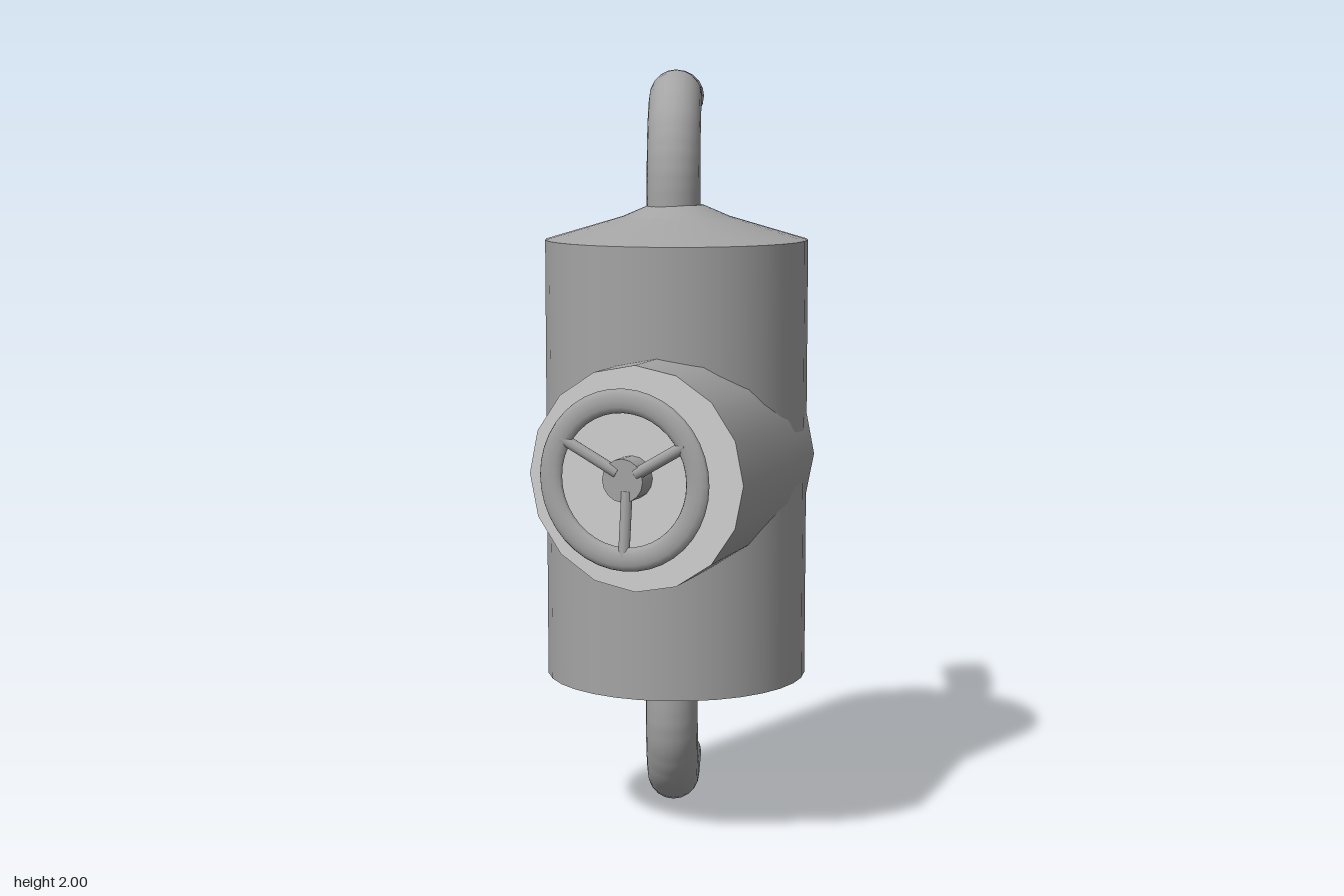
import * as THREE from 'three';

export function createModel() {
  const model = new THREE.Group();
  const makeMaterial = (name, color) => {
    const material = new THREE.MeshStandardMaterial({ color });
    material.name = name;
    return material;
  };
  const metal = makeMaterial('grey metal', 0xa4a4a4);
  const pale = makeMaterial('pale metal', 0xd0d0d0);

  const add = (parent, name, geometry, x = 0, y = 0, z = 0, material = metal) => {
    const mesh = new THREE.Mesh(geometry, material);
    mesh.name = name;
    mesh.position.set(x, y, z);
    parent.add(mesh);
    return mesh;
  };

  // Upright tank with a shallow two-step conical lid
  const tank = new THREE.Group();
  tank.name = 'tank';
  tank.position.set(-0.072, 0, -0.11);
  model.add(tank);
  add(tank, 'tankBody', new THREE.CylinderGeometry(0.344, 0.344, 1.154, 32), 0, 0.983, 0);
  add(tank, 'lidSlope', new THREE.CylinderGeometry(0.14, 0.344, 0.06, 32, 1, true), 0, 1.59, 0);
  add(tank, 'lidCollar', new THREE.CylinderGeometry(0.07, 0.14, 0.03, 32), 0, 1.635, 0);

  // Bent pipes leaving the top and the bottom, both pointing back
  const bendOut = 0.19, bendUp = 0.24, reach = 0.392, radius = 0.07;
  const dir = new THREE.Vector3(-0.592, 0, -0.806);
  const addPipe = (name, yStart, yEnd, shift) => {
    const s = Math.sign(yEnd - yStart);
    const at = (d, y) => dir.clone().multiplyScalar(d).add(new THREE.Vector3(-0.004, y, shift));
    const points = [at(0, yStart)];
    for (let i = 0; i <= 10; i++) {
      const a = (i / 10) * Math.PI / 2;
      points.push(at(bendOut * (1 - Math.cos(a)), yEnd - s * bendUp * (1 - Math.sin(a))));
    }
    points.push(at(reach, yEnd));
    const path = new THREE.CurvePath();
    for (let i = 1; i < points.length; i++) path.add(new THREE.LineCurve3(points[i - 1], points[i]));
    add(tank, name, new THREE.TubeGeometry(path, 32, radius, 20, false));
    const cap = add(tank, name + 'End', new THREE.CircleGeometry(radius, 20), ...points.at(-1).toArray());
    cap.rotation.y = Math.atan2(dir.x, dir.z);
  };
  addPipe('topPipe', 1.6, 1.93, 0.008);
  addPipe('bottomPipe', 0.45, 0.07, 0.015);

  // Side drum running into the tank, with a pale front face
  const drum = new THREE.Group();
  drum.name = 'sideDrum';
  drum.position.set(0.144, 1, 0.328);
  drum.rotation.y = 0.306;
  model.add(drum);
  const drumGeometry = new THREE.CylinderGeometry(0.282, 0.282, 0.565, 16).rotateX(Math.PI / 2);
  add(drum, 'drumBody', drumGeometry, 0, 0, -0.2825, [metal, pale, metal]);

  // Handwheel: flattened rim, hub and three dished spokes
  const wheel = new THREE.Group();
  wheel.name = 'handwheel';
  wheel.position.set(0.163, 1.008, 0.395);
  wheel.rotation.y = 0.27;
  model.add(wheel);
  add(wheel, 'rim', new THREE.TorusGeometry(0.195, 0.03, 12, 40).scale(1, 1, 0.47));
  add(wheel, 'hub', new THREE.CylinderGeometry(0.054, 0.054, 0.07, 16).rotateX(Math.PI / 2), -0.008, -0.003, -0.045);
  for (let i = 0; i < 3; i++) {
    const a = -Math.PI / 2 + i * Math.PI * 2 / 3;
    const from = new THREE.Vector3(Math.cos(a) * 0.03, Math.sin(a) * 0.03, -0.02);
    const to = new THREE.Vector3(Math.cos(a) * 0.19, Math.sin(a) * 0.19, 0);
    const along = to.clone().sub(from);
    const mid = from.clone().add(to).multiplyScalar(0.5);
    const spoke = add(wheel, 'spoke', new THREE.CylinderGeometry(0.015, 0.015, along.length(), 8), ...mid.toArray());
    spoke.quaternion.setFromUnitVectors(new THREE.Vector3(0, 1, 0), along.normalize());
  }

  return model;
}
